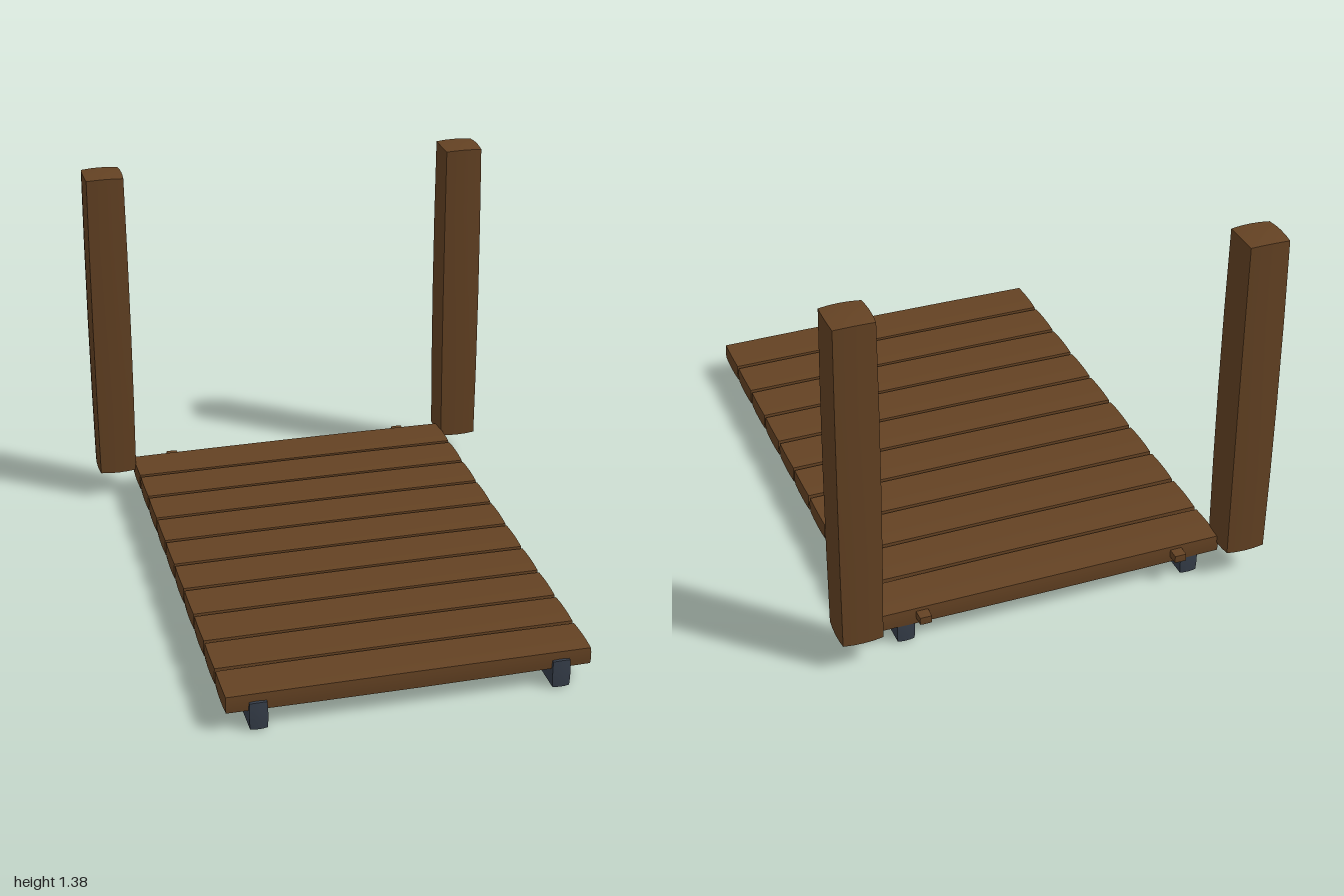
import * as THREE from 'three';

const wood = new THREE.MeshStandardMaterial({ color: 0x644223 });
wood.name = 'brownWood';
const iron = new THREE.MeshStandardMaterial({ color: 0x363e4a });
iron.name = 'darkSlate';

// Box between two corners whose faces bow out gently; corners are drawn in by `inset`
function bowedBox(name, material, min, max, inset) {
  const size = max.map((v, i) => v - min[i]);
  const geo = new THREE.BoxGeometry(...size, 4, 4, 4);
  const pos = geo.attributes.position;
  for (let i = 0; i < pos.count; i++) {
    const p = [pos.getX(i), pos.getY(i), pos.getZ(i)];
    const n = p.map((v, a) => (2 * v) / size[a]);
    const q = p.map((v, a) => {
      const others = n[(a + 1) % 3] ** 2 + n[(a + 2) % 3] ** 2;
      return v - n[a] * inset * 0.5 * others;
    });
    pos.setXYZ(i, ...q);
  }
  geo.computeVertexNormals();
  const mesh = new THREE.Mesh(geo, material);
  mesh.name = name;
  mesh.position.set(...max.map((v, i) => (v + min[i]) / 2));
  return mesh;
}

export function createModel() {
  const model = new THREE.Group();
  model.name = 'plankPlatform';

  // Deck planks laid front to back
  const deck = new THREE.Group();
  deck.name = 'deck';
  for (let i = 0; i < 10; i++) {
    const z = 0.896 - i * 0.1917;
    deck.add(bowedBox('plank' + (i + 1), wood, [-0.66, 0.069, z - 0.091], [0.66, 0.14, z + 0.091], 0.004));
  }
  model.add(deck);

  for (const [side, s] of [['left', 1], ['right', -1]]) {
    // Mirrors a box defined on the +x side
    const add = (name, mat, x0, x1, y0, y1, z0, z1, inset) =>
      model.add(bowedBox(side + name, mat,
        [s > 0 ? x0 : -x1, y0, z0], [s > 0 ? x1 : -x0, y1, z1], inset));

    // Support rail under the deck, tall post at the back, small peg on the rear plank
    add('Rail', iron, 0.51, 0.58, 0, 0.11, -0.915, 1, 0.004);
    add('Post', wood, 0.649, 0.808, 0.105, 1.381, -1, -0.841, 0.007);
    add('Peg', wood, 0.465, 0.51, 0.095, 0.125, -0.96, -0.9, 0.001);
  }
  return model;
}
